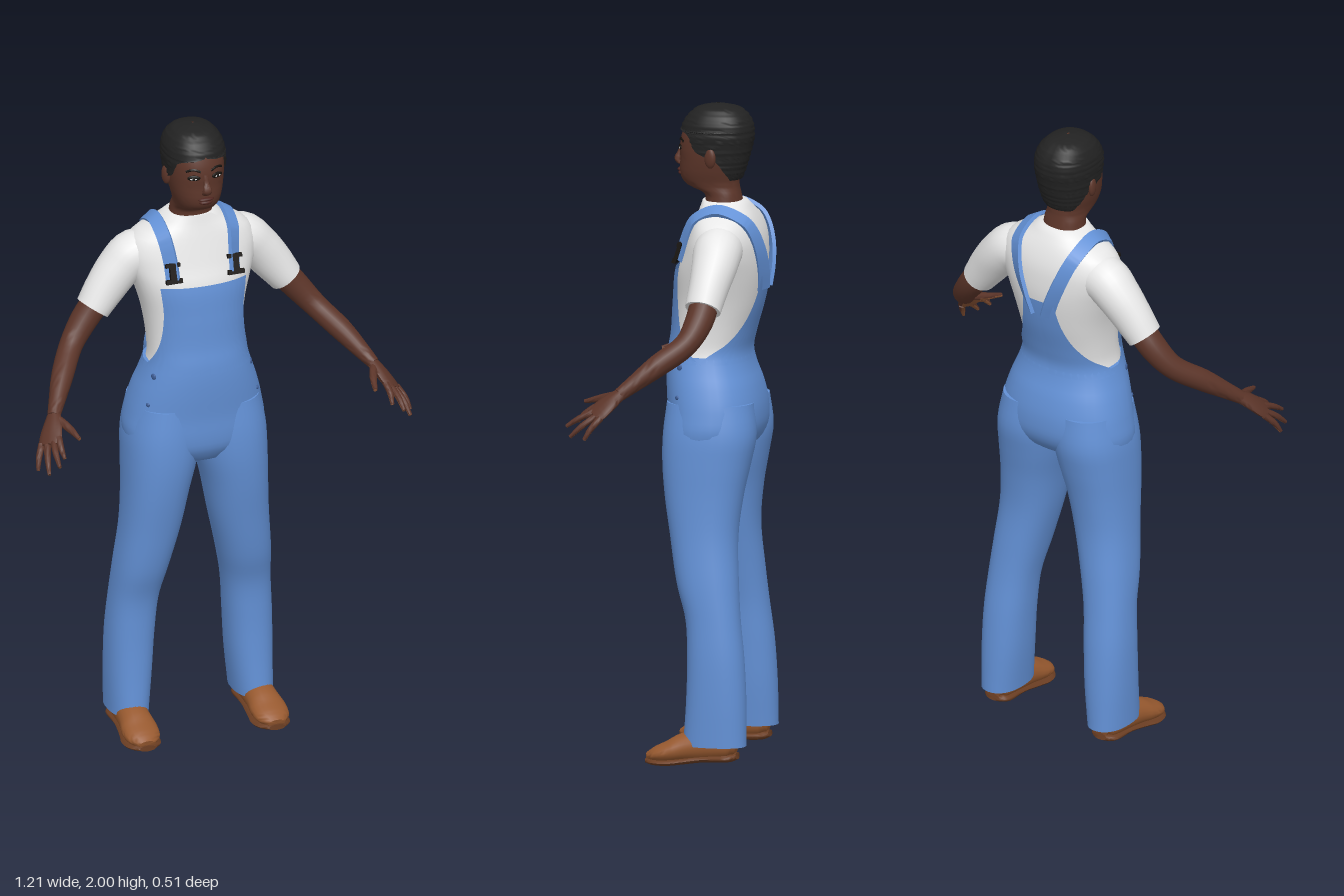
import * as THREE from 'three';
import { toCreasedNormals } from 'three/addons/utils/BufferGeometryUtils.js';

const PI = Math.PI;
const material = (name, color, side = THREE.FrontSide) => {
  const m = new THREE.MeshStandardMaterial({ color, side });
  m.name = name;
  return m;
};
const V = (x, y, z) => new THREE.Vector3(x, y, z);
const spow = (v, e) => Math.sign(v) * Math.abs(v) ** e;
const lerp = THREE.MathUtils.lerp;

// Smooth lookup through rows of [key, ...values]
function track(rows) {
  const n = rows[0].length - 1;
  const cubic = new THREE.CubicInterpolant(rows.map(r => r[0]), rows.flatMap(r => r.slice(1)), n, new Float32Array(n));
  return k => Array.from(cubic.evaluate(k));
}

// Skin over rows of points; closed rows wrap round and may be capped
function skinOver(rows, closed = true, caps = true) {
  const n = rows[0].length, pts = rows.flat(), index = [];
  for (let i = 0; i < rows.length - 1; i++) {
    for (let j = 0; j < (closed ? n : n - 1); j++) {
      const a = i * n + j, b = i * n + (j + 1) % n;
      index.push(a, b, a + n, b, b + n, a + n);
    }
  }
  if (closed && caps) {
    for (const end of [0, rows.length - 1]) {
      const c = pts.length, mid = V(0, 0, 0);
      rows[end].forEach(p => mid.addScaledVector(p, 1 / n));
      pts.push(mid);
      for (let j = 0; j < n; j++) {
        const a = end * n + j, b = end * n + (j + 1) % n;
        if (end) index.push(a, b, c); else index.push(b, a, c);
      }
    }
  }
  const g = new THREE.BufferGeometry().setFromPoints(pts);
  g.setIndex(index);
  return toCreasedNormals(g, 1);
}

// Point on a rounded body at angle t (0 = front, +x at a quarter turn)
function around(body, t, y, off = 0) {
  const [rx, zf, zb] = body(y);
  return V((rx + off) * spow(Math.sin(t), 0.9), y, (zf + zb) / 2 + ((zf - zb) / 2 + off) * spow(Math.cos(t), 0.85));
}
// Band of a body between two heights, over an angle range that may vary with height
function band(body, y0, y1, steps, off = 0, range = null) {
  const rows = [], n = 40;
  for (let i = 0; i <= steps; i++) {
    const y = lerp(y0, y1, i / steps), [a, b] = range ? range(y) : [0, 2 * PI * (n - 1) / n];
    rows.push(Array.from({ length: n }, (_, j) => around(body, lerp(a, b, j / (n - 1)), y, off)));
  }
  return skinOver(rows, !range);
}
// Elliptical tube through [x, y, z, ra, rb]; ra lies along ref
function sweep(points, ref, sides = 16, steps = 4) {
  const at = track(points.map((p, i) => [i, ...p])), rows = [], last = points.length - 1;
  for (let i = 0; i <= last * steps; i++) {
    const k = i / steps, [x, y, z, ra, rb] = at(k);
    const T = V(...at(Math.min(k + 0.05, last))).sub(V(...at(Math.max(k - 0.05, 0)))).normalize();
    const U = ref.clone().addScaledVector(T, -ref.dot(T)).normalize(), W = T.clone().cross(U);
    rows.push(Array.from({ length: sides }, (_, j) => {
      const t = j / sides * 2 * PI;
      return V(x, y, z).addScaledVector(U, ra * Math.cos(t)).addScaledVector(W, rb * Math.sin(t));
    }));
  }
  return skinOver(rows);
}
const round = (p, rx, ry, rz, ry0 = 0) =>
  new THREE.SphereGeometry(1, 16, 10).scale(rx, ry, rz).rotateY(ry0).translate(p.x, p.y, p.z).toNonIndexed();
const box = (p, w, h, d, tilt) =>
  new THREE.BoxGeometry(w, h, d).rotateX(tilt).translate(p.x, p.y, p.z).toNonIndexed();
// Reflected copy with its corners reordered
function mirrored(geo) {
  const g = geo.clone();
  for (const key of ['position', 'normal']) {
    const src = geo.attributes[key], dst = g.attributes[key];
    for (let i = 0; i < src.count; i++) {
      const k = i - i % 3 + 2 - i % 3;
      dst.setXYZ(i, -src.getX(k), src.getY(k), src.getZ(k));
    }
  }
  return g;
}

export function createModel() {
  const model = new THREE.Group();
  const denim = material('denim blue', 0x6391d6, THREE.DoubleSide), seam = material('dark denim', 0x3f5f98);
  const cotton = material('white cotton', 0xeaeaea), skin = material('brown skin', 0x5c3529);
  const palmSkin = material('palm skin', 0x8a5435), hairBlack = material('black hair', 0x222222, THREE.DoubleSide);
  const leather = material('tan leather', 0x97592f), soleBrown = material('sole brown', 0x6a3d22);
  const dark = material('near black', 0x17130f), lip = material('lip', 0x4e251f);
  const add = (name, geo, mat) => {
    const m = new THREE.Mesh(geo, mat);
    m.name = name;
    model.add(m);
  };
  const pair = (name, geo, mat) => {
    add(name + 'Left', geo, mat);
    add(name + 'Right', mirrored(geo), mat);
  };

  // Torso: height, half width, front z, back z
  const torso = track([
    [0.92, 0.09, 0.01, -0.12], [0.96, 0.19, 0.035, -0.19], [1.0, 0.21, 0.042, -0.22], [1.07, 0.203, 0.043, -0.228],
    [1.15, 0.182, 0.048, -0.213], [1.2, 0.164, 0.049, -0.195], [1.25, 0.149, 0.046, -0.185], [1.3, 0.147, 0.038, -0.195],
    [1.4, 0.158, 0.031, -0.222], [1.5, 0.186, 0.02, -0.238], [1.55, 0.202, 0.002, -0.238], [1.6, 0.205, -0.014, -0.232],
    [1.65, 0.172, -0.03, -0.214], [1.68, 0.108, -0.04, -0.197], [1.705, 0.074, -0.047, -0.178]]);
  add('shirtBody', band(torso, 1.16, 1.705, 34), cotton);
  pair('sleeve', sweep([[0.1, 1.57, -0.13, 0.068, 0.068], [0.17, 1.573, -0.134, 0.074, 0.074],
    [0.22, 1.535, -0.135, 0.069, 0.068], [0.27, 1.475, -0.129, 0.06, 0.062], [0.312, 1.418, -0.122, 0.055, 0.053]],
  V(0, 0, 1), 24), cotton);

  // Overalls: hips, bib, back panel and legs
  add('overallHips', band(torso, 0.92, 1.24, 20, 0.01), denim);
  const bibEdge = track([[1.22, 1.62], [1.26, 1.35], [1.3, 1.1], [1.4, 0.84], [1.5, 0.74]]);
  const backEdge = track([[1.22, 1.62], [1.25, 1.35], [1.28, 1.0], [1.33, 0.66], [1.4, 0.42], [1.5, 0.24]]);
  add('bib', band(torso, 1.22, 1.505, 20, 0.01, y => [-bibEdge(y)[0], bibEdge(y)[0]]), denim);
  add('backPanel', band(torso, 1.22, 1.49, 20, 0.01, y => [PI - backEdge(y)[0], PI + backEdge(y)[0]]), denim);
  // Leg: height, inner x, outer x, front z, back z
  const legAt = track([[0.065, 0.14, 0.262, -0.035, -0.228], [0.2, 0.126, 0.264, -0.043, -0.226], [0.33, 0.117, 0.262, -0.045, -0.218],
    [0.45, 0.106, 0.254, -0.037, -0.204], [0.55, 0.085, 0.247, -0.008, -0.195], [0.7, 0.05, 0.232, 0.02, -0.187],
    [0.82, 0.027, 0.226, 0.04, -0.2], [0.92, 0.002, 0.224, 0.05, -0.22], [1.0, -0.01, 0.22, 0.05, -0.234], [1.1, -0.01, 0.2, 0.04, -0.225]]);
  const legRows = Array.from({ length: 45 }, (_, i) => {
    const y = lerp(0.065, 1.1, i / 44), [xi, xo, zf, zb] = legAt(y);
    return Array.from({ length: 32 }, (_, j) => {
      const p = around(() => [(xo - xi) / 2, zf, zb], j / 32 * 2 * PI, y);
      return p.setX(p.x + (xi + xo) / 2);
    });
  });
  pair('trouserLeg', skinOver(legRows), denim);

  // Straps laid over the shoulders
  const onTorso = (x, y, back, off = 0.009) => {
    const t = Math.asin(Math.min(1, x / torso(y)[0]) ** (1 / 0.9));
    return around(torso, back ? PI - t : t, y, off).setX(x);
  };
  const path = new THREE.CatmullRomCurve3([onTorso(0.1, 1.53), onTorso(0.102, 1.58), onTorso(0.108, 1.63), onTorso(0.112, 1.658),
    V(0.114, 1.688, -0.115), onTorso(0.11, 1.658, true), onTorso(0.1, 1.63, true), onTorso(0.078, 1.57, true), onTorso(0.05, 1.5, true),
    onTorso(0.028, 1.44, true)]);
  const strapRows = path.getPoints(50).map((p, i) => {
    const T = path.getTangent(i / 50), N = V(0.1, p.y - 1.52, p.z + 0.115).normalize();
    const U = T.clone().cross(N).normalize(), W = T.clone().cross(U);
    return [[1, 1], [-1, 1], [-1, -1], [1, -1]].map(([a, b]) => p.clone().addScaledVector(U, a * 0.021).addScaledVector(W, b * 0.006));
  });
  pair('strap', skinOver(strapRows), denim);

  // Buckles and hip buttons
  for (const [y, w, h] of [[1.578, 0.046, 0.012], [1.556, 0.022, 0.05], [1.53, 0.052, 0.014]]) {
    pair('buckle', box(onTorso(0.1, y, false, 0.02), w, h, 0.012, -0.3), dark);
  }
  pair('hipButton', round(around(torso, 1.15, 1.21, 0.01), 0.01, 0.01, 0.004, 1.15), seam);
  pair('lowerHipButton', round(around(torso, 1.05, 1.12, 0.01), 0.007, 0.007, 0.004, 1.05), seam);

  // Arms and hands
  pair('arm', sweep([[0.285, 1.455, -0.125, 0.044, 0.044], [0.34, 1.388, -0.118, 0.043, 0.042], [0.395, 1.322, -0.088, 0.036, 0.036],
    [0.45, 1.265, -0.015, 0.034, 0.034], [0.49, 1.217, 0.045, 0.026, 0.026], [0.517, 1.184, 0.086, 0.021, 0.019]], V(0, 0, 1), 20), skin);
  const across = V(-0.75, 0.46, 0.47), under = V(-0.6, -0.7, -0.27);
  const handPart = (name, pts, shift) => {
    pair(name, sweep(pts, across, 12), skin);
    pair(name + 'Underside', sweep(pts.map(([x, y, z, a, b]) =>
      [x + under.x * shift, y + under.y * shift, z + under.z * shift, a * 0.85, b * 0.85]), across, 12), palmSkin);
  };
  handPart('palm', [[0.512, 1.19, 0.078, 0.02, 0.016], [0.53, 1.165, 0.11, 0.032, 0.016],
    [0.547, 1.139, 0.138, 0.039, 0.014], [0.557, 1.124, 0.156, 0.037, 0.01]], 0.004);
  const tips = [[0.53, 1.1, 0.213], [0.557, 1.088, 0.242], [0.584, 1.06, 0.224], [0.602, 1.056, 0.176]];
  tips.forEach((tip, i) => {
    const base = V(0.551, 1.133, 0.145).addScaledVector(across, 0.029 - i * 0.0195), end = V(...tip);
    const mid = base.clone().lerp(end, 0.55).addScaledVector(under, -0.005);
    handPart('finger', [[...base, 0.011, 0.01], [...mid, 0.0095, 0.009], [...end, 0.0055, 0.005]], 0.002);
  });
  handPart('thumb', [[0.515, 1.182, 0.095, 0.014, 0.013], [0.492, 1.167, 0.15, 0.012, 0.011], [0.479, 1.153, 0.203, 0.006, 0.006]], 0.002);

  // Shoes
  pair('shoe', sweep([[0.203, 0.06, -0.2, 0.026, 0.024], [0.203, 0.066, -0.175, 0.044, 0.042], [0.204, 0.065, -0.1, 0.048, 0.05],
    [0.206, 0.056, -0.04, 0.051, 0.044], [0.208, 0.043, 0.005, 0.057, 0.033], [0.209, 0.033, 0.045, 0.051, 0.024],
    [0.209, 0.026, 0.074, 0.026, 0.012]], V(1, 0, 0), 20), leather);
  pair('sole', sweep([[0.203, 0.036, -0.203, 0.025, 0.01], [0.203, 0.03, -0.175, 0.047, 0.014], [0.204, 0.026, -0.1, 0.046, 0.013],
    [0.206, 0.016, -0.03, 0.053, 0.012], [0.208, 0.012, 0.01, 0.06, 0.012], [0.209, 0.012, 0.05, 0.052, 0.012],
    [0.209, 0.014, 0.078, 0.026, 0.009]], V(1, 0, 0), 20), soleBrown);

  // Head and neck
  const head = track([[1.64, 0.078, -0.05, -0.175], [1.7, 0.066, -0.056, -0.166], [1.73, 0.063, -0.046, -0.16], [1.747, 0.063, -0.002, -0.157],
    [1.765, 0.067, 0.017, -0.156], [1.79, 0.074, 0.024, -0.16], [1.83, 0.081, 0.023, -0.166], [1.87, 0.084, 0.024, -0.177],
    [1.91, 0.084, 0.016, -0.185], [1.95, 0.073, -0.005, -0.172], [1.98, 0.04, -0.045, -0.135]]);
  add('head', band(head, 1.64, 1.98, 40), skin);
  add('nose', sweep([[0, 1.872, 0.02, 0.008, 0.006], [0, 1.845, 0.026, 0.009, 0.008], [0, 1.824, 0.033, 0.015, 0.011],
    [0, 1.81, 0.024, 0.014, 0.006]], V(1, 0, 0), 14), skin);
  pair('ear', round(V(0.087, 1.842, -0.088), 0.011, 0.031, 0.019, -0.3), skin);
  add('upperLip', round(V(0, 1.793, 0.023), 0.025, 0.006, 0.01), lip);
  add('lowerLip', round(V(0, 1.782, 0.021), 0.021, 0.007, 0.01), lip);
  pair('eyeSocket', round(around(head, 0.42, 1.866), 0.02, 0.009, 0.004, 0.35), dark);
  pair('eyeWhite', round(around(head, 0.43, 1.864, 0.002), 0.012, 0.004, 0.003, 0.35), cotton);
  pair('iris', round(around(head, 0.42, 1.864, 0.004), 0.0045, 0.0045, 0.002, 0.35), dark);
  pair('brow', sweep([0.17, 0.4, 0.7].map((t, i) => [...around(head, t, 1.885 + [0, 0.007, 0][i], 0), 0.004, 0.003]), V(0, 1, 0), 8), dark);

  // Cropped hair with a hairline that drops from forehead to nape
  const hairBody = track([[1.77, 0.07, 0.0, -0.166], [1.8, 0.081, 0.02, -0.177], [1.85, 0.089, 0.028, -0.192], [1.9, 0.093, 0.026, -0.202],
    [1.94, 0.089, 0.014, -0.198], [1.97, 0.074, -0.008, -0.18], [1.99, 0.046, -0.04, -0.148], [2.0, 0.003, -0.088, -0.098]]);
  const hairline = track([[1.77, 2.3], [1.8, 2.0], [1.83, 1.75], [1.86, 1.25], [1.89, 1.05], [1.912, 0.8], [1.926, 0], [1.94, 0], [2, 0]]);
  const wavy = y => hairBody(y).map((v, i) => v + (i < 2 ? 1 : -1) * 0.0015 * Math.sin(y * 400) * Math.min(1, (2 - y) * 40));
  add('hair', band(wavy, 1.77, 2.0, 46, 0, y => {
    const a = Math.max(0, y > 1.926 ? 0 : hairline(y)[0]);
    return [a, 2 * PI - a];
  }), hairBlack);
  return model;
}
